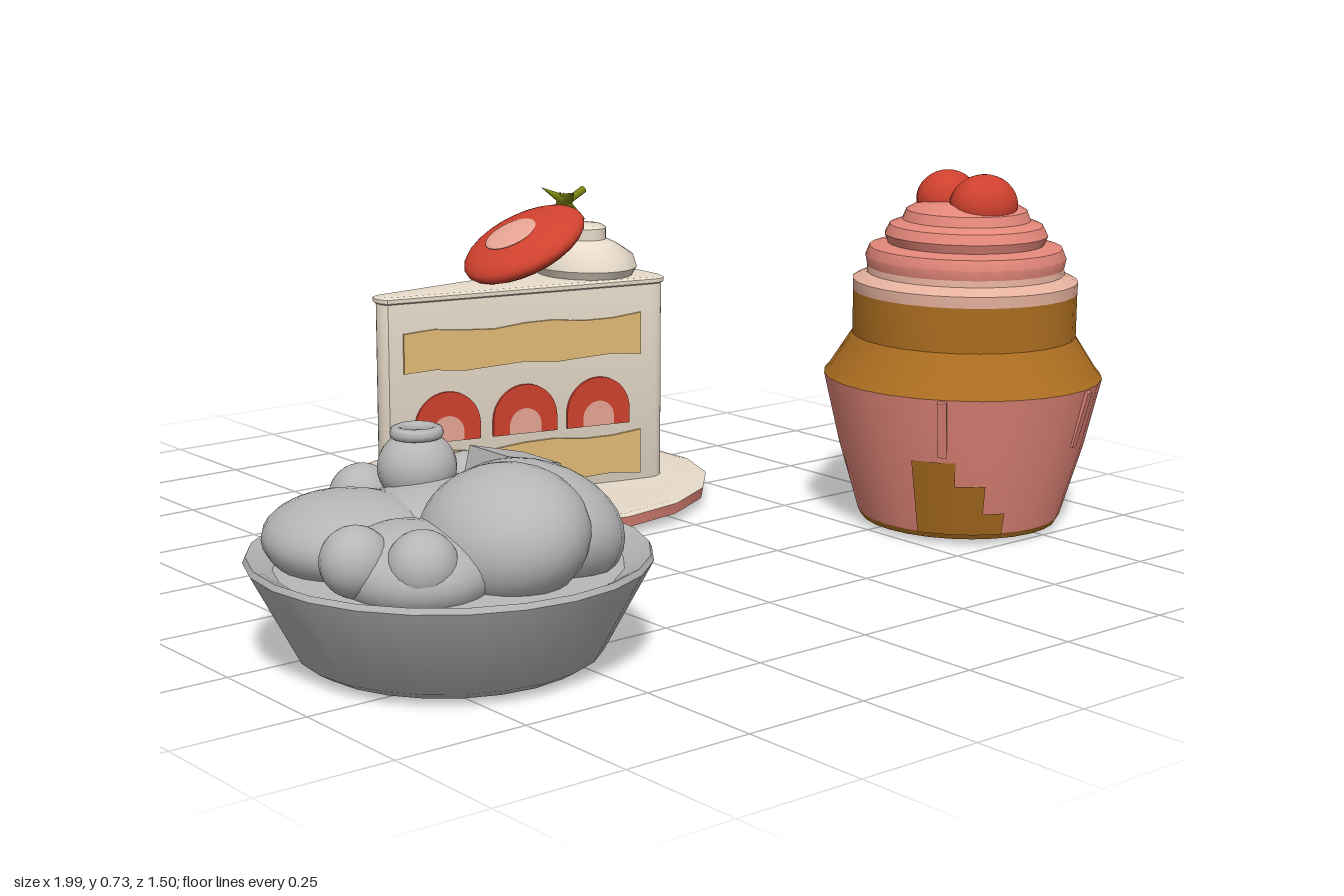
import * as THREE from 'three';
import { toCreasedNormals } from 'three/addons/utils/BufferGeometryUtils.js';

const mat = (name, color, side = THREE.FrontSide) =>
  Object.assign(new THREE.MeshStandardMaterial({ color, side }), { name });

export function createModel() {
  const M = {
    grey: mat('plain grey', 0xb6b6b6),
    cream: mat('cream', 0xe8dccb),
    sponge: mat('yellow sponge', 0xe3bc77),
    red: mat('berry red', 0xcf412e),
    blush: mat('berry core', 0xe6a493),
    pink: mat('pink', 0xe4877a, THREE.DoubleSide),
    paleCream: mat('pale pink cream', 0xe8b3a0),
    brown: mat('baked brown', 0xab6d20),
    green: mat('leaf green', 0x7c8512, THREE.DoubleSide),
  };
  const model = new THREE.Group();
  const group = (name, x, z, parent = model) => {
    const g = new THREE.Group();
    g.name = name;
    g.position.set(x, 0, z);
    parent.add(g);
    return g;
  };
  const add = (parent, name, geo, material, x = 0, y = 0, z = 0) => {
    const m = new THREE.Mesh(geo, material);
    m.name = name;
    m.position.set(x, y, z);
    parent.add(m);
    return m;
  };
  const lathe = (pts, sides = 24, start = 0, sweep = Math.PI * 2) => toCreasedNormals(
    new THREE.LatheGeometry(pts.map(p => new THREE.Vector2(...p)), sides, start, sweep), 0.6);
  const blob = (parent, name, material, [x, y, z], [a, b, c]) => {
    const m = add(parent, name, new THREE.SphereGeometry(1, 24, 16), material, x, y, z);
    m.scale.set(a, b, c);
    return m;
  };

  // Fruit tart
  const tart = group('fruitTart', -0.645, 0.395);
  add(tart, 'tartShell', lathe([[0, 0.01], [0.24, 0.01], [0.265, 0.025], [0.35, 0.185],
    [0.345, 0.195], [0.325, 0.185], [0.3, 0.17], [0, 0.2]], 24), M.grey);
  const frontLump = blob(tart, 'creamLump', M.grey, [0.02, 0.245, 0.13], [0.14, 0.115, 0.16]);
  frontLump.rotation.z = 0.3;
  const sideLump = blob(tart, 'creamLump', M.grey, [0.12, 0.235, 0.08], [0.15, 0.11, 0.17]);
  sideLump.rotation.z = -0.35;
  blob(tart, 'creamLump', M.grey, [-0.13, 0.215, -0.1], [0.15, 0.08, 0.17]);
  blob(tart, 'creamLump', M.grey, [-0.13, 0.2, 0.08], [0.13, 0.08, 0.15]);
  blob(tart, 'creamLump', M.grey, [0.04, 0.2, -0.06], [0.2, 0.1, 0.18]);
  [[-0.235, 0.23, 0.07], [-0.165, 0.23, 0.16], [-0.015, 0.24, -0.245], [0.16, 0.25, -0.17]]
    .forEach(p => blob(tart, 'smallBerry', M.grey, p, [0.06, 0.06, 0.06]));
  blob(tart, 'crownedBerry', M.grey, [0.025, 0.31, -0.13], [0.07, 0.065, 0.07]);
  add(tart, 'berryCrown', new THREE.TorusGeometry(0.036, 0.012, 8, 16).rotateX(Math.PI / 2),
    M.grey, 0.025, 0.372, -0.13);
  const chunk = add(tart, 'fruitChunk', new THREE.BoxGeometry(0.12, 0.06, 0.11), M.grey, 0.16, 0.3, -0.035);
  chunk.rotation.z = -0.25;

  // Plate
  const plate = group('plate', 0.085, -0.38);
  plate.scale.set(0.42, 1, 0.37);
  add(plate, 'plateBase', lathe([[0, 0.002], [0.72, 0.002], [0.88, 0.012]], 18), M.cream);
  add(plate, 'plateEdge', lathe([[0.88, 0.012], [0.99, 0.022], [1, 0.045]], 18), M.pink);
  add(plate, 'plateTop', lathe([[1, 0.045], [0.96, 0.049], [0.72, 0.036], [0, 0.036]], 18), M.cream);

  // Cake wedge, narrow end toward -x
  const cake = group('cakeSlice', 0, 0);
  const wedge = new THREE.Shape();
  wedge.moveTo(-0.235, 0.395);
  wedge.lineTo(0.35, 0.262);
  wedge.quadraticCurveTo(0.385, 0.255, 0.386, 0.29);
  wedge.lineTo(0.392, 0.47);
  wedge.quadraticCurveTo(0.392, 0.5, 0.36, 0.498);
  wedge.lineTo(-0.235, 0.438);
  wedge.quadraticCurveTo(-0.248, 0.416, -0.235, 0.395);
  const slab = (depth, grow) => toCreasedNormals(new THREE.ExtrudeGeometry(wedge, {
    depth, bevelEnabled: true, bevelSize: grow, bevelThickness: 0.004, bevelSegments: 1, curveSegments: 6,
  }).rotateX(-Math.PI / 2), 0.6);
  add(cake, 'cakeBody', slab(0.42, 0.001), M.cream, 0, 0.04, 0);
  add(cake, 'cakeTopIcing', slab(0.008, 0.007), M.cream, 0, 0.463, 0);

  // Layers shown on both cut faces
  const plateOf = s => new THREE.ExtrudeGeometry(s, { depth: 0.006, bevelEnabled: false, curveSegments: 12 });
  const arch = (outer, inner) => {
    const s = new THREE.Shape();
    s.moveTo(outer, 0);
    s.lineTo(outer, 0.03);
    s.absarc(0, 0.032, outer, 0, Math.PI, false);
    s.lineTo(-outer, 0);
    if (inner) {
      s.lineTo(-inner, 0);
      s.lineTo(-inner, 0.018);
      s.absarc(0, 0.018, inner, Math.PI, 0, true);
      s.lineTo(inner, 0);
    }
    return s;
  };
  const band = (a, b, y0, y1) => {
    const s = new THREE.Shape();
    s.moveTo(a, y0);
    for (let i = 0; i <= 8; i++) s.lineTo(a + (b - a) * i / 8, y0 + 0.004 * Math.sin(i * 2.1));
    for (let i = 8; i >= 0; i--) s.lineTo(a + (b - a) * i / 8, y1 + 0.005 * Math.sin(i * 1.7));
    return s;
  };
  const cutFace = (name, [x0, z0], [x1, z1], flip) => {
    const g = group(name, x0, z0, cake);
    g.rotation.y = Math.atan2(z0 - z1, x1 - x0);
    const length = Math.hypot(x1 - x0, z1 - z0);
    const at = u => (flip ? length - u : u);
    const [a, b] = [at(0.03), at(0.57)].sort((p, q) => p - q);
    add(g, 'lowerSponge', plateOf(band(a, b, 0.055, 0.143)), M.sponge);
    add(g, 'upperSponge', plateOf(band(a, b, 0.315, 0.398)), M.sponge);
    for (const u of [0.125, 0.3, 0.47]) {
      add(g, 'berrySlice', plateOf(arch(0.073, 0.036)), M.red, at(u), 0.165, 0);
      const core = new THREE.Shape();
      core.moveTo(0.036, 0);
      core.lineTo(0.036, 0.018);
      core.absarc(0, 0.018, 0.036, 0, Math.PI, false);
      core.lineTo(-0.036, 0);
      add(g, 'berrySliceCore', plateOf(core), M.blush, at(u), 0.165, 0);
    }
  };
  cutFace('frontCutFace', [-0.235, -0.393], [0.35, -0.26], false);
  cutFace('backCutFace', [0.36, -0.5], [-0.235, -0.44], true);

  // Cream swirl and half strawberry on the slice
  const swirl = add(cake, 'creamSwirl', lathe([[0.9, 0], [1, 0.02], [0.93, 0.045], [0.62, 0.068],
    [0.42, 0.078], [0.42, 0.102], [0.34, 0.108], [0, 0.11]], 24), M.cream, 0.275, 0.472, -0.4);
  swirl.scale.set(0.105, 1, 0.125);
  const berry = group('halfStrawberry', 0.128, -0.418, cake);
  berry.position.y = 0.548;
  berry.rotation.z = 0.47;
  blob(berry, 'strawberryFlesh', M.red, [0, 0, 0], [0.142, 0.042, 0.128]);
  blob(berry, 'strawberryCore', M.blush, [-0.02, 0.038, 0], [0.06, 0.008, 0.055]);
  for (let i = 0; i < 6; i++) {
    const a = i / 6 * Math.PI * 2;
    const leaf = add(berry, 'strawberryLeaf', new THREE.ConeGeometry(0.026, 0.085, 4).translate(0, 0.035, 0),
      M.green, 0.135, 0.022, 0);
    leaf.scale.z = 0.9;
    leaf.rotation.set(a, 0, 0.1);
    leaf.scale.x = 0.3;
    leaf.scale.y = 0.35 + 0.6 * Math.abs(Math.sin(a));
  }
  const stem = add(berry, 'strawberryStem', new THREE.CylinderGeometry(0.008, 0.008, 0.06, 6), M.green, 0.16, 0.02, 0);
  stem.rotation.z = Math.PI / 2;

  // Cupcake
  const cup = group('cupcake', 0.71, 0.302);
  add(cup, 'cupBottom', lathe([[0, 0.012], [0.2, 0.012], [0.207, 0.024]], 28), M.brown);
  add(cup, 'cupWrapper', lathe([[0.207, 0.024], [0.25, 0.17], [0.283, 0.312]], 28), M.pink);
  add(cup, 'cakeCrown', lathe([[0.283, 0.312], [0.272, 0.325], [0.232, 0.388], [0.227, 0.395],
    [0.227, 0.485]], 28), M.brown);
  add(cup, 'creamBand', lathe([[0.227, 0.485], [0.228, 0.508], [0.2, 0.522], [0.199, 0.535]], 28), M.paleCream);
  add(cup, 'frosting', lathe([[0.199, 0.535], [0.203, 0.555], [0.195, 0.575], [0.158, 0.582],
    [0.165, 0.6], [0.155, 0.62], [0.13, 0.63], [0.122, 0.65], [0.09, 0.668], [0, 0.675]], 28), M.pink);
  // Browned patch and paper folds on the wrapper
  const wrapR = y => 0.21 + (y - 0.024) * 0.264;
  const patch = (start, sweep, top) => add(cup, 'brownedPatch',
    lathe([[wrapR(0.024) + 0.003, 0.024], [wrapR(top) + 0.003, top]], 6, start, sweep), M.brown);
  patch(-1.2, 0.35, 0.18);
  patch(-0.85, 0.25, 0.13);
  patch(-0.6, 0.2, 0.07);
  for (const a of [-0.95, 0.25, 1.9, 3.4]) {
    const fold = add(cup, 'paperFold', new THREE.BoxGeometry(0.018, 0.12, 0.012), M.pink,
      Math.sin(a) * 0.268, 0.25, Math.cos(a) * 0.268);
    fold.rotation.set(0.258, a, 0, 'YXZ');
  }
  // Berries on top
  blob(cup, 'topBerry', M.red, [-0.01, 0.665, 0.055], [0.073, 0.062, 0.064]);
  blob(cup, 'topBerry', M.red, [-0.015, 0.67, -0.04], [0.066, 0.058, 0.06]);
  return model;
}
